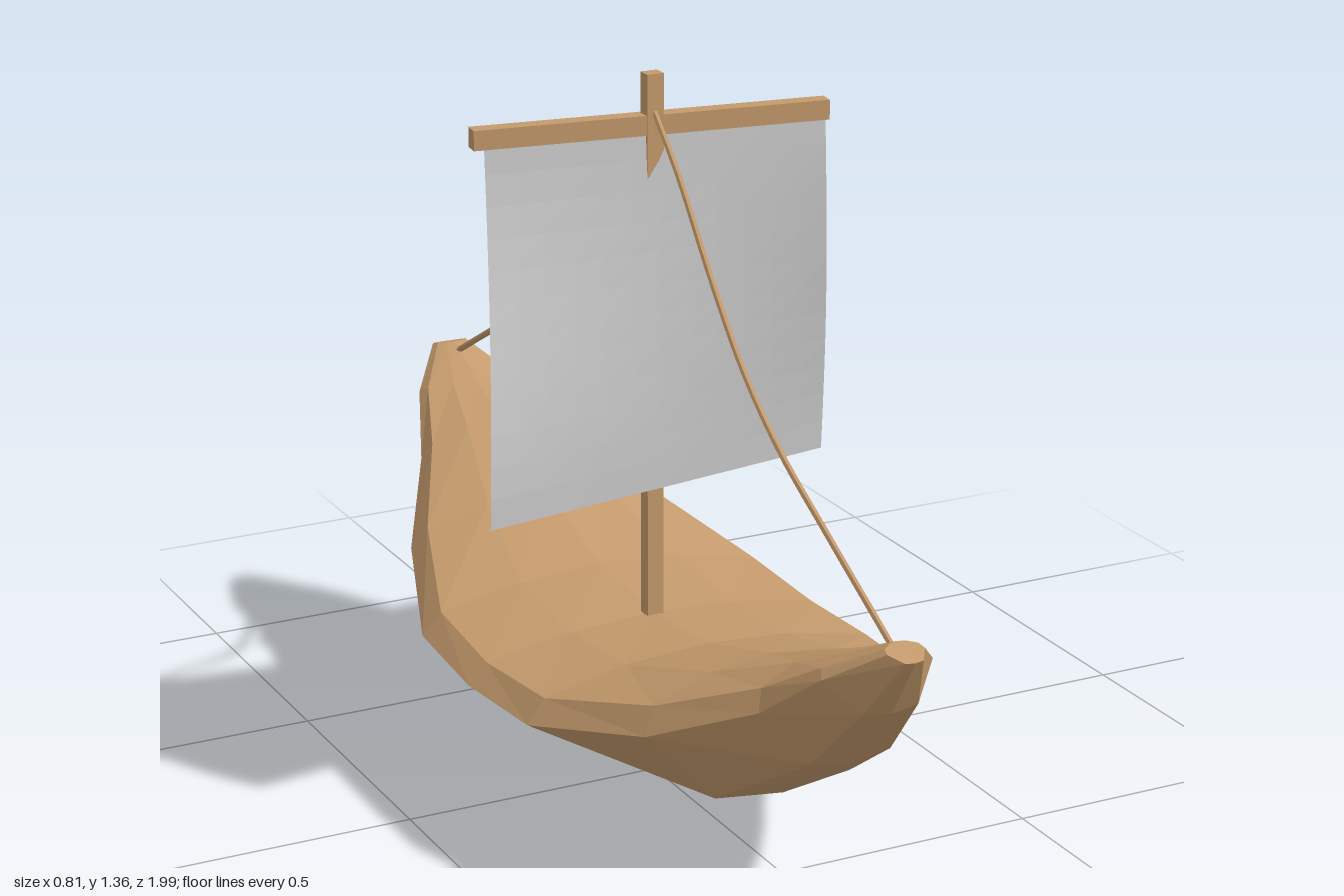
import * as THREE from 'three';

const CX = -0.035, CZ = 0.06; // centre line of the boat

const wood = new THREE.MeshStandardMaterial({ color: 0xc49a6c, flatShading: true });
const cloth = new THREE.MeshStandardMaterial({ color: 0xcccccc, flatShading: true, side: THREE.DoubleSide });

function add(group, name, geometry, material = wood) {
  const mesh = new THREE.Mesh(geometry, material);
  mesh.name = name;
  group.add(mesh);
  return mesh;
}

function box(group, name, w, h, d, x, y, z) {
  const mesh = add(group, name, new THREE.BoxGeometry(w, h, d));
  mesh.position.set(x, y, z);
  return mesh;
}

// Hull stations from midships to tip: keel [z, y], beam [z, y, half width], deck [z, y]
const STATIONS = [
  { keel: [0, 0.15], beam: [0, 0.27, 0.37], deck: [0, 0.345] },
  { keel: [0.24, 0.17], beam: [0.23, 0.28, 0.36], deck: [0.22, 0.365] },
  { keel: [0.505, 0.19], beam: [0.5, 0.345, 0.265], deck: [0.46, 0.435] },
  { keel: [0.74, 0.34], beam: [0.7, 0.445, 0.155], deck: [0.66, 0.515] },
  { keel: [0.87, 0.48], beam: [0.82, 0.54, 0.105], deck: [0.78, 0.565] },
  { keel: [0.94, 0.595], beam: [0.91, 0.605, 0.035], deck: [0.88, 0.612] },
];

// One closed ring of ten points, counter-clockwise seen from the bow
function hullRing({ keel, beam, deck }, end) {
  const between = (a, b, t, x) => [x * beam[2], a[1] + (b[1] - a[1]) * t, a[0] + (b[0] - a[0]) * t];
  const half = [
    between(keel, beam, 0, 0),
    between(keel, beam, 0.1, 0.5),
    between(beam, deck, 0, 1),
    between(beam, deck, 0.5, 0.9),
    between(beam, deck, 0.88, 0.45),
    between(deck, deck, 0, 0),
  ];
  const mirrored = half.slice(1, -1).reverse().map(([x, y, z]) => [-x, y, z]);
  return [...half, ...mirrored].map(([x, y, z]) => [CX + x, y, CZ + end * z]);
}

function hullGeometry() {
  const rings = [
    ...STATIONS.slice(1).reverse().map((s) => hullRing(s, -1)),
    ...STATIONS.map((s) => hullRing(s, 1)),
  ];
  const n = rings[0].length, last = rings.length - 1, positions = [];
  const tri = (...corners) => corners.forEach((c) => positions.push(...c));
  for (let i = 0; i < last; i++) {
    for (let j = 0; j < n; j++) {
      const k = (j + 1) % n;
      tri(rings[i][j], rings[i][k], rings[i + 1][k]);
      tri(rings[i][j], rings[i + 1][k], rings[i + 1][j]);
    }
  }
  // Tip caps
  for (let j = 1; j < n - 1; j++) {
    tri(rings[last][0], rings[last][j], rings[last][j + 1]);
    tri(rings[0][0], rings[0][j + 1], rings[0][j]);
  }
  const geometry = new THREE.BufferGeometry();
  geometry.setAttribute('position', new THREE.Float32BufferAttribute(positions, 3));
  geometry.computeVertexNormals();
  return geometry;
}

// Cloth that widens downward and twists from the yard to its free foot
function sailGeometry() {
  const geometry = new THREE.PlaneGeometry(1, 1, 12, 12);
  const p = geometry.attributes.position;
  const mix = THREE.MathUtils.lerp;
  for (let i = 0; i < p.count; i++) {
    const u = p.getX(i) + 0.5, v = 0.5 - p.getY(i);
    const s = v * v * (3 - 2 * v);
    const x = mix(mix(-0.345, 0.285, u), mix(-0.39, 0.32, u), s);
    const y = mix(1.262, mix(0.59, 0.605, u), v);
    const z = mix(mix(0.03, 0.11, u), mix(0.135, 0.05, u), s);
    p.setXYZ(i, x, y, z + 0.012 * Math.sin(Math.PI * v));
  }
  geometry.computeVertexNormals();
  return geometry;
}

function ropeGeometry(end) {
  const points = [[0, 1.3], [0.1, 1.2], [0.23, 1.04], [0.35, 0.91], [0.48, 0.81], [0.64, 0.72], [0.87, 0.595]];
  const curve = new THREE.CatmullRomCurve3(
    points.map(([z, y]) => new THREE.Vector3(CX, y, CZ + end * z)));
  return new THREE.TubeGeometry(curve, 24, 0.006, 6);
}

// Flat oar outline, handle at the top, blade tip at y = 0
function oarGeometry(length) {
  const right = [[0.03, 0], [0.042, 0.02], [0.045, 0.25], [0.026, 0.33], [0.026, length]];
  const outline = [...right, ...right.slice().reverse().map(([x, y]) => [-x, y])];
  const shape = new THREE.Shape(outline.map(([x, y]) => new THREE.Vector2(x, y)));
  const geometry = new THREE.ExtrudeGeometry(shape, { depth: 0.034, bevelEnabled: false });
  return geometry.translate(0, 0, -0.017);
}

export function createModel() {
  const boat = new THREE.Group();
  boat.name = 'sailingBoat';

  add(boat, 'hull', hullGeometry());

  // Rig
  box(boat, 'mast', 0.032, 1.04, 0.028, CX, 0.84, CZ);
  const yard = box(boat, 'yard', 0.66, 0.036, 0.032, CX, 1.268, CZ - 0.002);
  yard.rotation.y = -0.13;
  add(boat, 'sail', sailGeometry(), cloth);
  add(boat, 'bowRope', ropeGeometry(1));
  add(boat, 'sternRope', ropeGeometry(-1));

  // Steering gear at the stern
  box(boat, 'oarPost', 0.042, 0.3, 0.042, CX, 0.55, -0.522);
  const tip = new THREE.Vector3(0.375, 0.012, -0.965);
  const handle = new THREE.Vector3(-0.045, 0.73, -0.425);
  const up = handle.clone().sub(tip);
  const oar = add(boat, 'steeringOar', oarGeometry(up.length()));
  up.normalize();
  const across = new THREE.Vector3(-up.z, 0, up.x).normalize().negate();
  const facing = across.clone().cross(up);
  oar.quaternion.setFromRotationMatrix(new THREE.Matrix4().makeBasis(across, up, facing));
  oar.position.copy(tip);

  return boat;
}
